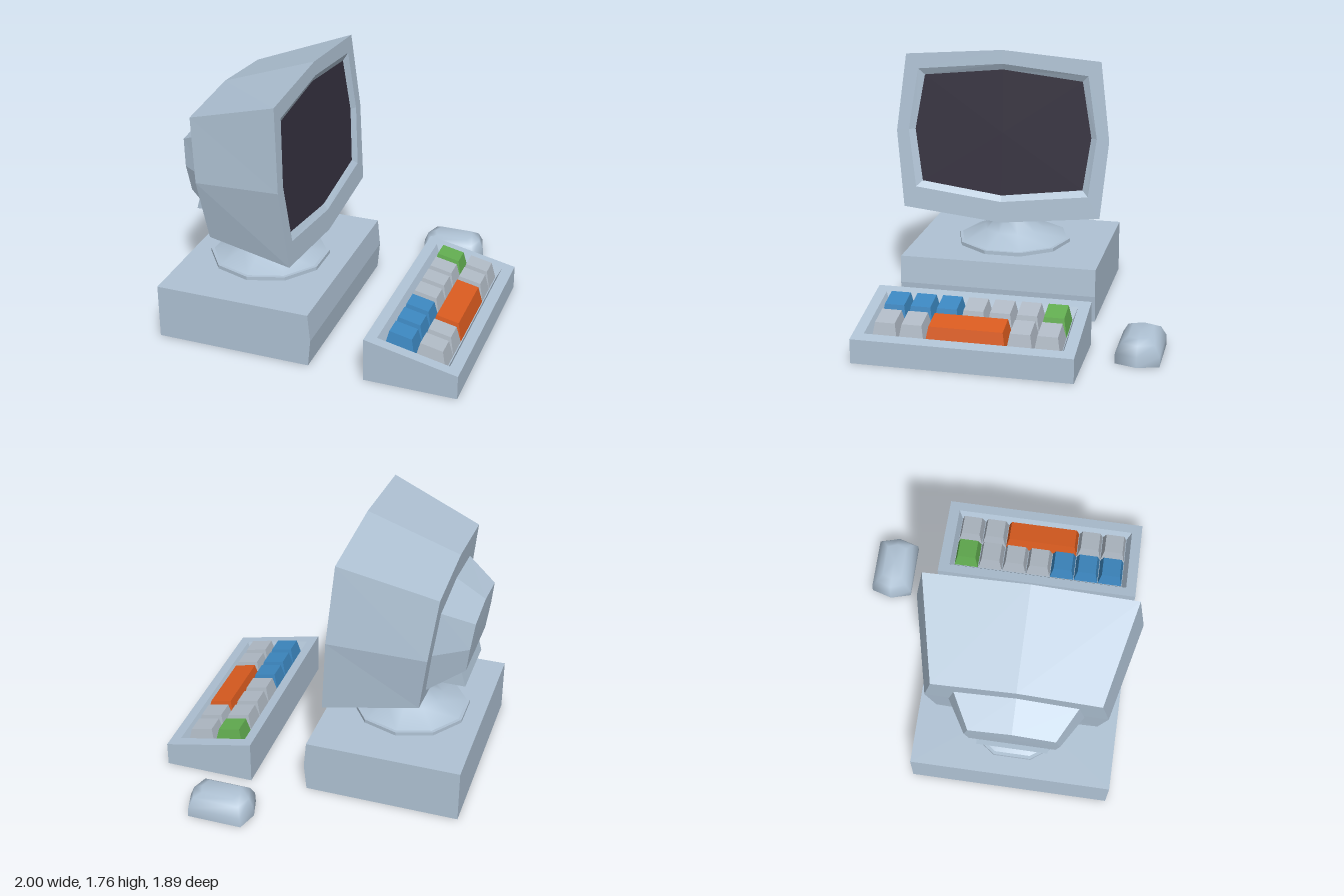
import * as THREE from 'three';
import { mergeVertices } from 'three/addons/utils/BufferGeometryUtils.js';

const ZC = 0.225; // shared centre line of monitor and keyboard

function material(name, color) {
  const m = new THREE.MeshStandardMaterial({ color });
  m.name = name;
  return m;
}

// Skin a list of rings; each ring turns counter-clockwise about the advancing direction
function loft(rings, { start = false, end = false, smooth = false } = {}) {
  const pos = [];
  const tri = (a, b, c) => pos.push(...a, ...b, ...c);
  const n = rings[0].length;
  for (let i = 0; i < rings.length - 1; i++) {
    for (let j = 0; j < n; j++) {
      const k = (j + 1) % n;
      const a = rings[i][j], b = rings[i][k], c = rings[i + 1][k], d = rings[i + 1][j];
      tri(a, b, c);
      tri(a, c, d);
    }
  }
  const cap = (ring, flip) => {
    const mid = [0, 1, 2].map((q) => ring.reduce((s, p) => s + p[q], 0) / n);
    for (let j = 0; j < n; j++) {
      const a = ring[j], b = ring[(j + 1) % n];
      if (flip) tri(mid, b, a);
      else tri(mid, a, b);
    }
  };
  if (start) cap(rings[0], true);
  if (end) cap(rings[rings.length - 1], false);
  let g = new THREE.BufferGeometry();
  g.setAttribute('position', new THREE.Float32BufferAttribute(pos, 3));
  if (smooth) g = mergeVertices(g);
  g.computeVertexNormals();
  return g;
}

// Eight-point upright ring: [x, y, half width] for top, upper corner, side, lower corner, bottom
function octRing(top, upper, side, lower, bottom) {
  const at = ([x, y, w], s) => [x, y, ZC + s * w];
  return [
    [top[0], top[1], ZC], at(upper, 1), at(side, 1), at(lower, 1),
    [bottom[0], bottom[1], ZC], at(lower, -1), at(side, -1), at(upper, -1),
  ];
}

// Four-point ring seen from above, with height given by a rule of x
function rectRing(x0, x1, z0, z1, y) {
  return [[x0, z1], [x1, z1], [x1, z0], [x0, z0]].map(([x, z]) => [x, y(x), z]);
}

export function createModel() {
  const model = new THREE.Group();
  const body = material('casing', 0xafc2d4);
  const keyGrey = material('key grey', 0xb0bac5);
  const dark = material('screen dark', 0x35313f);
  const orange = material('key orange', 0xd95b1f);
  const blue = material('key blue', 0x3c87c0);
  const green = material('key green', 0x62ad50);

  const add = (name, geometry, mat, parent = model) => {
    const mesh = new THREE.Mesh(geometry, mat);
    mesh.name = name;
    parent.add(mesh);
    return mesh;
  };

  // Computer case with a slightly bowed front
  add('computerCase', loft([
    rectRing(-1, 0.025, -0.44, 0.89, () => 0),
    rectRing(-1, 0.042, -0.44, 0.89, () => 0.18),
    rectRing(-1, 0.025, -0.44, 0.89, () => 0.362),
  ], { start: true, end: true }), body);

  // Ten-sided monitor foot
  const disc = new THREE.CylinderGeometry(0.395, 0.395, 0.025, 10).toNonIndexed();
  disc.computeVertexNormals();
  add('standDisc', disc, body).position.set(-0.5, 0.374, ZC);
  const profile = [[0.375, 0.386], [0.21, 0.455], [0.12, 0.545], [0.15, 0.63], [0.155, 0.68]];
  const neck = new THREE.LatheGeometry(profile.map(([r, y]) => new THREE.Vector2(r, y)), 10);
  add('standNeck', neck, body).position.set(-0.5, 0, ZC);

  // Monitor, facing +x and leaning back
  const monitor = new THREE.Group();
  monitor.name = 'monitor';
  model.add(monitor);
  const planeX = (y, depth = 0) => -0.17 + (1.76 - y) * 0.0783 - depth;
  const faceRing = (depth, top, upper, side, lower, bottom) => octRing(
    ...[[top, 0], upper, side, lower, [bottom, 0]].map(([y, w]) => [planeX(y, depth), y, w]));
  const back = octRing([-0.78, 1.55], [-0.78, 1.505, 0.515], [-0.733, 1.1, 0.575],
    [-0.68, 0.71, 0.525], [-0.68, 0.66]);
  const front = faceRing(0, 1.76, [1.71, 0.652], [1.195, 0.717], [0.68, 0.667], 0.61);
  const opening = faceRing(0, 1.67, [1.615, 0.57], [1.207, 0.635], [0.82, 0.585], 0.75);
  const glass = faceRing(0.025, 1.628, [1.572, 0.53], [1.207, 0.595], [0.857, 0.545], 0.787);
  add('monitorShell', loft([back, front, opening, glass], { start: true }), body, monitor);
  add('screen', loft([glass], { end: true }), dark, monitor);

  // Tube housing on the back
  add('rearHousing', loft([
    octRing([-0.957, 1.262], [-0.957, 1.232, 0.27], [-0.937, 1.06, 0.3],
      [-0.915, 0.885, 0.275], [-0.91, 0.865]),
    octRing([-0.755, 1.385], [-0.755, 1.34, 0.385], [-0.72, 1.05, 0.43],
      [-0.68, 0.755, 0.39], [-0.68, 0.715]),
  ], { start: true }), body, monitor);

  // Tilt bracket under the housing
  add('rearBracket', loft([
    rectRing(-0.908, -0.67, ZC - 0.23, ZC + 0.23, () => 0.73),
    rectRing(-0.86, -0.67, ZC - 0.23, ZC + 0.23, () => 0.9),
  ], { start: true, end: true }), body, monitor);

  // Sloping keyboard with a sunken tray
  const keyboard = new THREE.Group();
  keyboard.name = 'keyboard';
  model.add(keyboard);
  const slope = (offset) => (x) => 0.29 - (x - 0.4) * 0.217 + offset;
  add('keyboardTray', loft([
    rectRing(0.4, 1, -0.48, 0.92, () => 0),
    rectRing(0.4, 1, -0.48, 0.92, slope(0)),
    rectRing(0.465, 0.93, -0.406, 0.85, slope(0)),
    rectRing(0.497, 0.898, -0.38, 0.82, slope(-0.07)),
  ], { start: true, end: true }), body, keyboard);

  // Tapered keys: each column lists [material, rows spanned]
  const columns = [
    [[green, 1], [keyGrey, 1], [keyGrey, 1], [keyGrey, 1], [blue, 1], [blue, 1], [blue, 1]],
    [[keyGrey, 1], [keyGrey, 1], [orange, 3], [keyGrey, 1], [keyGrey, 1]],
  ];
  const pitch = 0.171;
  columns.forEach((keys, c) => {
    const x0 = 0.5 + c * 0.198, x1 = x0 + 0.195;
    let z0 = -0.379;
    for (const [mat, rows] of keys) {
      const z1 = z0 + pitch * rows;
      add('key', loft([
        rectRing(x0, x1, z0 + 0.002, z1 - 0.002, slope(-0.068)),
        rectRing(x0 + 0.025, x1 - 0.025, z0 + 0.022, z1 - 0.022, slope(0.043)),
      ], { end: true }), mat, keyboard);
      z0 = z1;
    }
  });

  // Rounded six-sided mouse
  const mouse = new THREE.Group();
  mouse.name = 'mouse';
  model.add(mouse);
  const hex = (y, sx, sz) => [
    [-0.18, 0.139], [0.18, 0.139], [0.22, 0], [0.18, -0.139], [-0.18, -0.139], [-0.22, 0],
  ].map(([x, z]) => [0.475 + x * sx, y, -0.81 + z * sz]);
  const base = hex(0, 1, 1);
  add('mouseBody', loft([base, hex(0.066, 0.98, 1), hex(0.13, 0.86, 0.75), hex(0.157, 0.6, 0.48)],
    { end: true, smooth: true }), body, mouse);
  add('mouseBottom', loft([base], { start: true }), body, mouse);

  return model;
}
